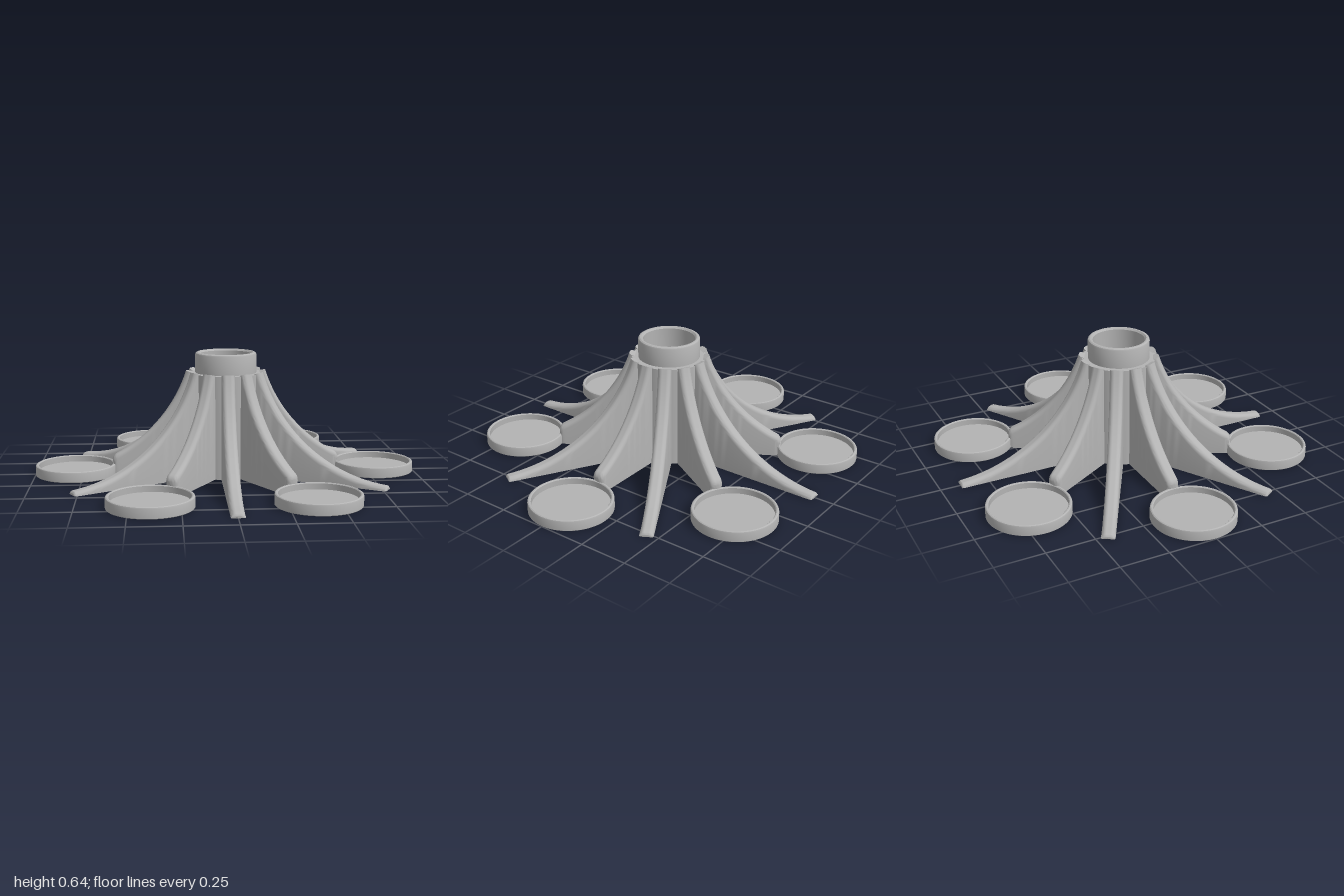
import * as THREE from 'three';
import { toCreasedNormals } from 'three/addons/utils/BufferGeometryUtils.js';

const HALF = 0.034, BEVEL = 0.024, TOP = 0.535;
// Circular sweep shared by the upper edge of every fin
const ARC = { x: 0.93, y: 0.78, r: 0.76 };

// Fin along +x with a concave, rounded upper edge, ending at radius `end`
function finGeometry(end, endRound) {
  const stations = [];
  for (let i = 0; i <= 28; i++) {
    const t = i / 28;
    stations.push([0.207 + (end - endRound - 0.207) * Math.pow(t, 1.5), 0]);
  }
  for (let i = 1; i <= 5; i++) {
    const a = (i / 5) * Math.PI / 2;
    stations.push([end - endRound + endRound * Math.sin(a), endRound * (1 - Math.cos(a))]);
  }

  const section = ([x, inset]) => {
    const y = ARC.y - Math.sqrt(ARC.r ** 2 - (x - ARC.x) ** 2);
    const nx = (x - ARC.x) / ARC.r, ny = (y - ARC.y) / ARC.r;
    const w = HALF - inset * 0.3;
    const side = [];
    for (let k = 0; k <= 5; k++) {
      const a = (k / 5) * Math.PI / 2;
      const depth = BEVEL * (1 - Math.sin(a));
      side.push([x + nx * depth, Math.max(0.004, y + ny * depth - inset), w - BEVEL + BEVEL * Math.cos(a)]);
    }
    const foot = [side[0][0], 0, w];
    const flip = ([px, py, pz]) => [px, py, -pz];
    return [flip(foot), ...side.map(flip), ...side.slice().reverse(), foot];
  };

  const rings = stations.map(section);
  // Flat top running back into the hub
  rings.unshift(rings[0].map(([, y, z]) => [0.178, y > 0 ? TOP : 0, z]));
  const n = rings[0].length, index = [];
  for (let i = 0; i < rings.length - 1; i++) {
    for (let j = 0; j < n; j++) {
      const a = i * n + j, b = i * n + (j + 1) % n;
      index.push(a, b, a + n, b, b + n, a + n);
    }
  }
  const last = (rings.length - 1) * n;
  for (let j = 1; j < n - 1; j++) index.push(last, last + j, last + j + 1);

  const geo = new THREE.BufferGeometry();
  geo.setAttribute('position', new THREE.Float32BufferAttribute(rings.flat(2), 3));
  geo.setIndex(index);
  return toCreasedNormals(geo, 0.6);
}

function lathe(points, segments) {
  const geo = new THREE.LatheGeometry(points.map(([x, y]) => new THREE.Vector2(x, y)), segments);
  return toCreasedNormals(geo, 0.5);
}

export function createModel() {
  const model = new THREE.Group();
  model.name = 'radialStand';
  const grey = new THREE.MeshStandardMaterial({ color: 0xb3b3b3 });
  grey.name = 'grey';

  const add = (name, geo, parent = model) => {
    const mesh = new THREE.Mesh(geo, grey);
    mesh.name = name;
    parent.add(mesh);
    return mesh;
  };

  // Hollow hub: wide sleeve below, narrower collar above
  add('hub', lathe([
    [0.17, 0], [0.192, 0], [0.192, TOP], [0.16, TOP], [0.16, 0.63], [0.157, 0.637], [0.15, 0.641],
    [0.142, 0.641], [0.134, 0.632], [0.134, 0.5], [0.17, 0.5], [0.17, 0],
  ], 72));

  const shortFin = finGeometry(0.597, 0.02);
  const longFin = finGeometry(0.897, 0.012);
  const dish = lathe([
    [0, 0], [0.207, 0], [0.21, 0.003], [0.21, 0.047], [0.208, 0.053], [0.203, 0.056],
    [0.197, 0.056], [0.193, 0.052], [0.193, 0.022], [0, 0.022],
  ], 64);

  // Six short arms carrying dishes alternate with six long fins
  for (let i = 0; i < 12; i++) {
    const arm = new THREE.Group();
    arm.rotation.y = (i * Math.PI) / 6;
    model.add(arm);
    if (i % 2 === 0) {
      arm.name = 'dishArm';
      add('shortFin', shortFin, arm);
      add('dish', dish, arm).position.x = 0.79;
    } else {
      arm.name = 'supportArm';
      add('longFin', longFin, arm);
    }
  }
  return model;
}
